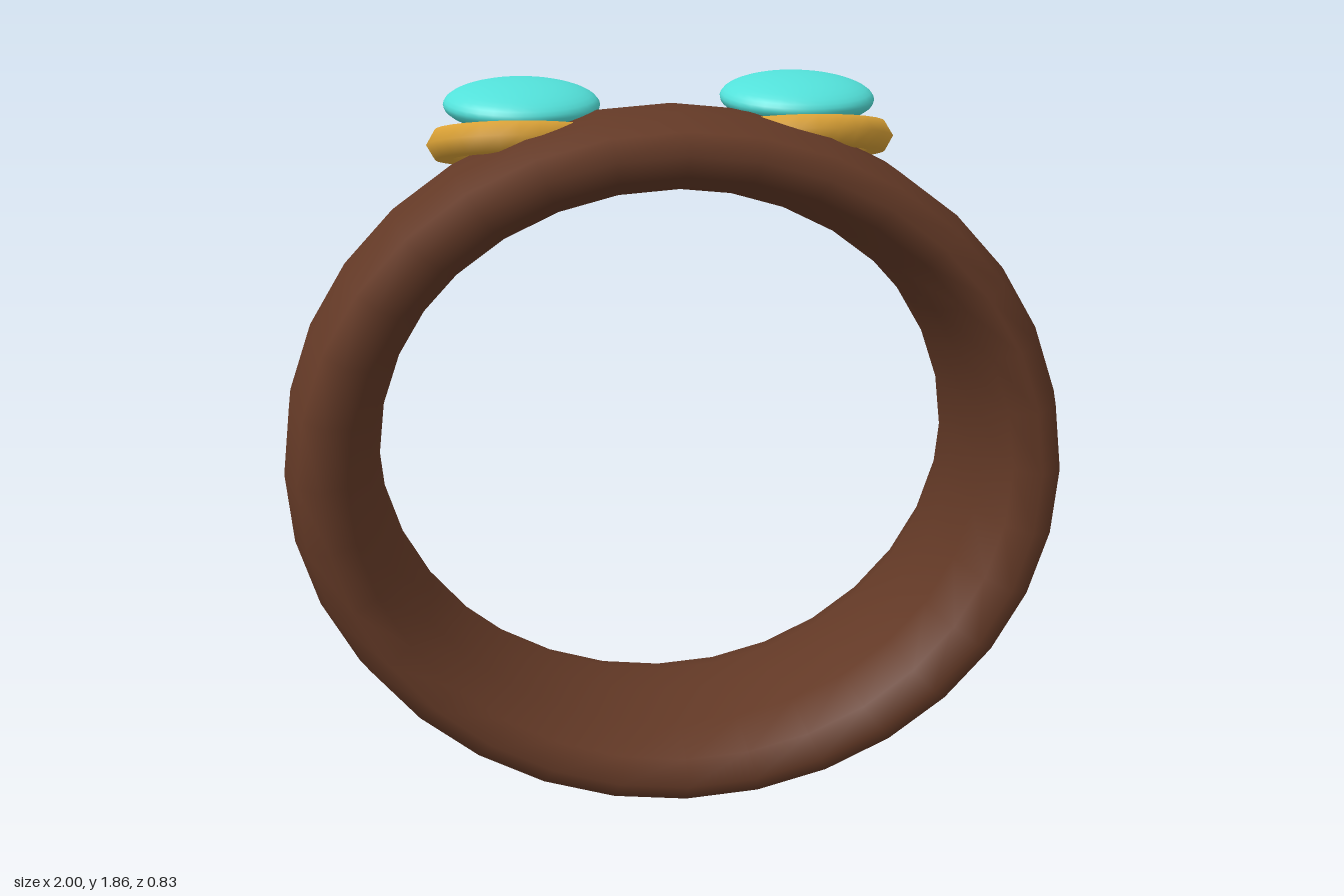
import * as THREE from 'three';

const bandBrown = new THREE.MeshStandardMaterial({ color: 0x633926 });
bandBrown.name = 'bandBrown';
const gold = new THREE.MeshStandardMaterial({ color: 0xdba236 });
gold.name = 'gold';
const turquoise = new THREE.MeshStandardMaterial({ color: 0x52e0d9 });
turquoise.name = 'turquoise';

function part(name, geometry, material, position) {
  const mesh = new THREE.Mesh(geometry, material);
  mesh.name = name;
  mesh.position.set(...position);
  return mesh;
}

export function createModel() {
  const model = new THREE.Group();
  model.name = 'ringWithStones';

  // Wide oval band: a torus stretched along z and slightly flattened
  const band = new THREE.TorusGeometry(0.88, 0.12, 12, 32);
  band.scale(1, 0.893, 3.44);
  model.add(part('band', band, bandBrown, [0, 0.893, 0]));

  // Gold rims lean backwards, the stones above them lean forwards
  const rimGeometry = new THREE.TorusGeometry(0.188, 0.043, 6, 28);
  rimGeometry.rotateX(-Math.PI / 2);
  const stoneGeometry = new THREE.SphereGeometry(0.2, 32, 20);
  stoneGeometry.scale(1, 0.3, 0.985);

  const settings = [
    { side: 'right', rim: [-0.388, 1.682, -0.03], stone: [-0.375, 1.782, -0.07] },
    { side: 'left', rim: [0.346, 1.694, -0.03], stone: [0.335, 1.797, -0.07] },
  ];
  for (const { side, rim, stone } of settings) {
    const setting = new THREE.Group();
    setting.name = side + 'Setting';
    const rimMesh = part(side + 'Rim', rimGeometry, gold, rim);
    rimMesh.rotation.x = -0.16;
    const stoneMesh = part(side + 'Stone', stoneGeometry, turquoise, stone);
    stoneMesh.rotation.x = 0.17;
    setting.add(rimMesh, stoneMesh);
    model.add(setting);
  }
  return model;
}
